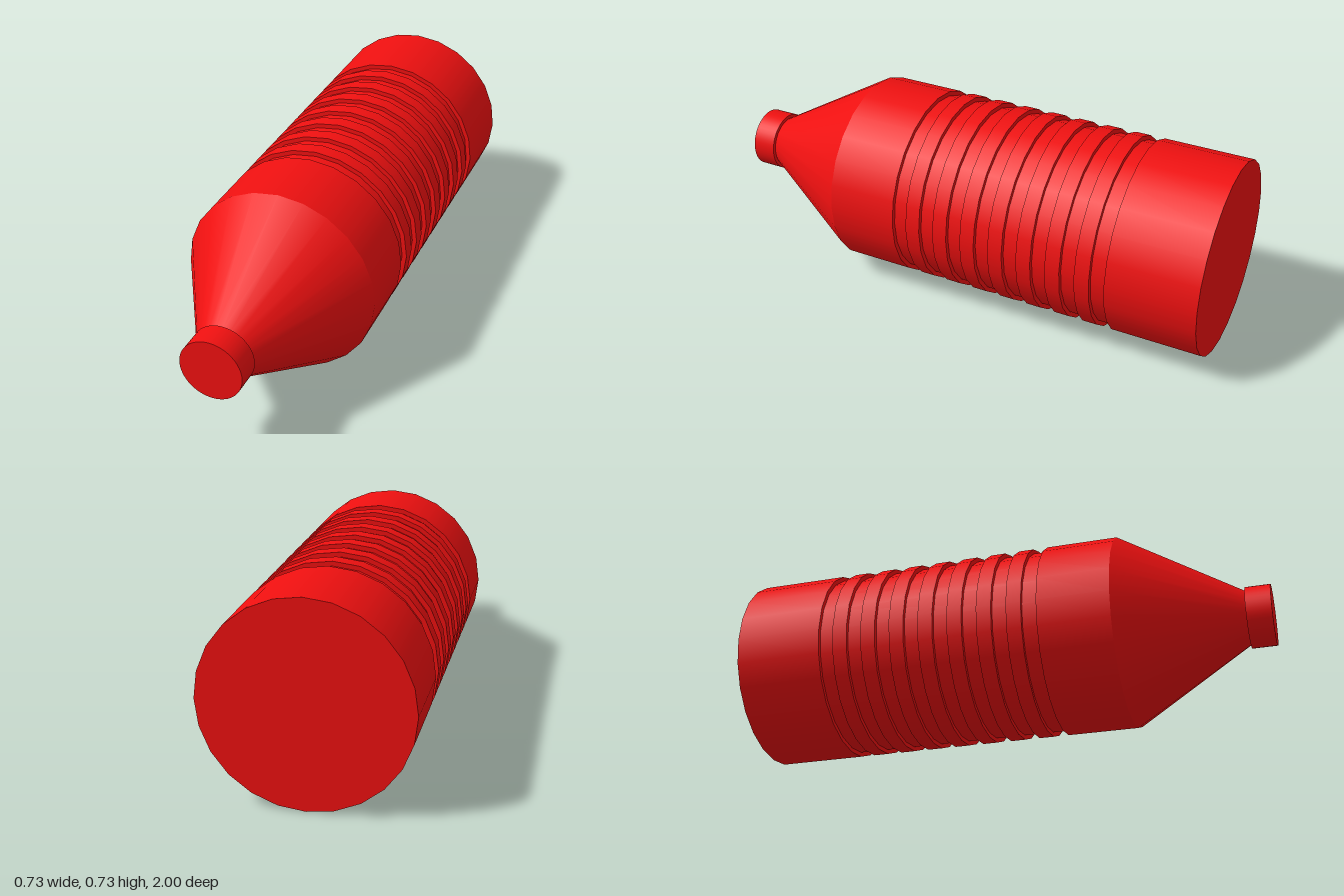
import * as THREE from 'three';

const R = 0.365;        // body radius, also the height of the axis
const GROOVE_R = 0.348; // radius at the bottom of the grooves
const material = new THREE.MeshStandardMaterial({ color: 0xee1010 });

// Round section along z, from z0 (back) to z1 (front)
function section(name, z0, z1, backRadius, frontRadius = backRadius, sides = 24) {
  const geometry = new THREE.CylinderGeometry(frontRadius, backRadius, z1 - z0, sides);
  geometry.rotateX(Math.PI / 2);
  geometry.translate(0, R, (z0 + z1) / 2);
  const mesh = new THREE.Mesh(geometry, material);
  mesh.name = name;
  return mesh;
}

export function createModel() {
  const model = new THREE.Group();
  model.name = 'bottle';

  // Smooth body ends on either side of the grip
  const gripFront = 0.187, gripBack = -0.663;
  model.add(section('base', -1, gripBack, R));
  model.add(section('upperBody', gripFront, 0.457, R));

  // Ribbed grip: a narrower core carrying seven raised rings
  const grip = new THREE.Group();
  grip.name = 'grip';
  grip.add(section('gripCore', gripBack, gripFront, GROOVE_R));
  const step = (gripFront - gripBack) / 15;
  for (let i = 0; i < 7; i++) {
    const front = gripFront - (2 * i + 1) * step;
    grip.add(section('gripRing', front - step, front, R));
  }
  model.add(grip);

  // Tapered shoulder and cap
  model.add(section('shoulder', 0.457, 0.908, R, 0.1));
  model.add(section('cap', 0.906, 1, 0.115, 0.115, 48));
  return model;
}
